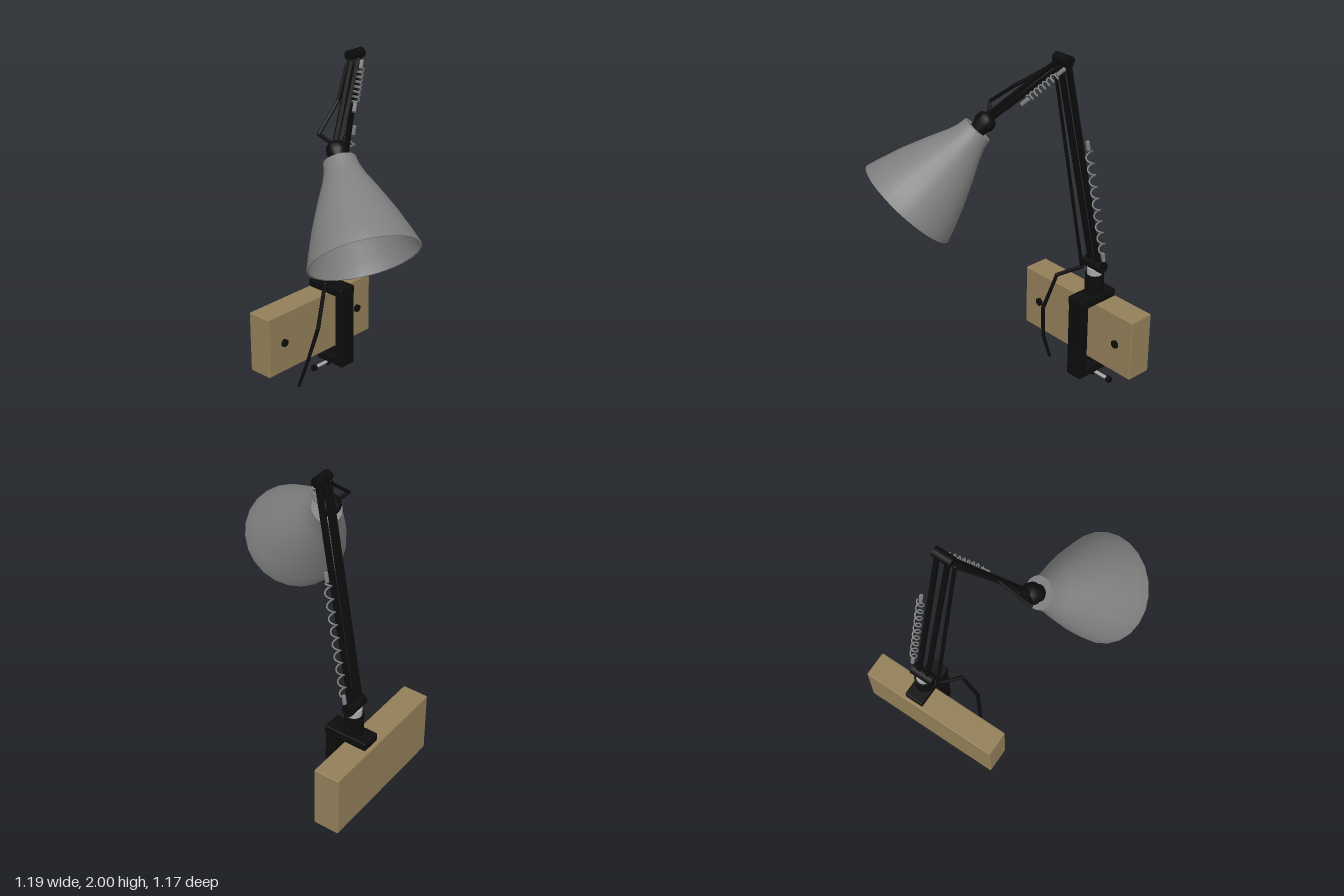
import * as THREE from 'three';
import { RoundedBoxGeometry } from 'three/addons/geometries/RoundedBoxGeometry.js';

const V = (x, y, z) => new THREE.Vector3(x, y, z);
const UP = V(0, 1, 0);

export function createModel() {
  const group = new THREE.Group();
  group.name = 'clampLamp';
  const mat = (name, color, side = THREE.FrontSide) => {
    const m = new THREE.MeshStandardMaterial({ color, side });
    m.name = name;
    return m;
  };
  const black = mat('black', 0x0c0c0c);
  const wood = mat('wood', 0x927e58);
  const grey = mat('shadeGrey', 0x7f7f7f, THREE.DoubleSide);
  const steel = mat('steel', 0xa8a8a8);
  const springGrey = mat('springGrey', 0x808080);
  const bulbGrey = mat('bulbGrey', 0x8c8c8c);

  const add = (name, geo, m, parent = group) => {
    const mesh = new THREE.Mesh(geo, m);
    mesh.name = name;
    parent.add(mesh);
    return mesh;
  };
  // Places a geometry whose axis is y so that it spans from a to b
  const span = (mesh, a, b) => {
    mesh.position.copy(a).add(b).multiplyScalar(0.5);
    mesh.quaternion.setFromUnitVectors(UP, b.clone().sub(a).normalize());
    return mesh;
  };
  const rod = (name, a, b, r0, m, sides = 16, r1 = r0) =>
    span(add(name, new THREE.CylinderGeometry(r1, r0, a.distanceTo(b), sides), m), a, b);
  const bar = (name, a, b, w, d) =>
    span(add(name, new THREE.BoxGeometry(w, a.distanceTo(b), d), black), a, b);
  const block = (name, x0, x1, y0, y1, z0, z1, m, r) => {
    const geo = new RoundedBoxGeometry(x1 - x0, y1 - y0, z1 - z0, 2, r);
    add(name, geo, m).position.set((x0 + x1) / 2, (y0 + y1) / 2, (z0 + z1) / 2);
  };

  // Wooden board with two bolts
  block('board', -0.24, 0.6, 0.14, 0.51, -0.582, -0.43, wood, 0.008);
  for (const x of [-0.12, 0.485]) {
    rod('bolt', V(x, 0.325, -0.45), V(x, 0.325, -0.418), 0.025, black, 6);
  }

  // C-shaped clamp
  const cx = 0.283;
  block('clampBack', 0.231, 0.335, 0.062, 0.562, -0.366, -0.31, black, 0.008);
  block('clampTopJaw', 0.226, 0.341, 0.515, 0.565, -0.567, -0.31, black, 0.008);
  block('clampBottomJaw', 0.231, 0.335, 0.062, 0.115, -0.515, -0.31, black, 0.008);

  // Clamp screw, pad and turning handle
  const sz = -0.475;
  rod('clampScrew', V(cx, 0.01, sz), V(cx, 0.13, sz), 0.016, black);
  rod('clampPad', V(cx, 0.115, sz), V(cx, 0.14, sz), 0.036, black);
  rod('handle', V(0.16, 0.03, sz), V(0.405, 0.03, sz), 0.01, steel);
  for (const x of [0.155, 0.395]) {
    rod('handleCap', V(x, 0.03, sz), V(x + 0.022, 0.03, sz), 0.019, black);
  }

  // Swivel post and lower joint
  const pz = -0.455;
  rod('post', V(cx, 0.56, pz), V(cx, 0.68, pz), 0.053, black, 24);
  rod('postSleeve', V(cx, 0.675, pz), V(cx, 0.72, pz), 0.042, steel, 24);
  rod('lowerJoint', V(0.214, 0.738, pz), V(0.348, 0.738, pz), 0.034, black);

  // Elbow joint
  rod('elbowJoint', V(0.188, 1.972, -0.215), V(0.294, 1.972, -0.215), 0.028, black);

  // Paired arm bars
  for (const s of [-1, 1]) {
    bar('lowerArmBar', V(0.281 + s * 0.028, 0.74, pz), V(0.243 + s * 0.03, 1.97, -0.215), 0.022, 0.026);
    bar('upperArmBar', V(0.241 + s * 0.027, 1.965, -0.215), V(-0.108 + s * 0.02, 1.6, -0.02), 0.02, 0.02);
  }

  // Power cable following the arms, then hanging loose
  const cable = [
    [-0.115, 1.6, -0.03, 0.01], [-0.167, 1.66, -0.09, 0.01], [0, 1.79, -0.113, 0.01],
    [0.178, 1.93, -0.215, 0.01], [0.198, 0.69, -0.44, 0.011], [0.115, 0.645, -0.33, 0.011],
    [0.032, 0.4, -0.308, 0.012], [-0.012, 0.18, -0.355, 0.01], [-0.02, 0.008, -0.418, 0.009],
  ];
  cable.forEach(([x, y, z, r], i) => {
    add('cableBend', new THREE.SphereGeometry(r, 8, 6), black).position.set(x, y, z);
    if (i) {
      const [px, py, pz0, pr] = cable[i - 1];
      rod('cable', V(px, py, pz0), V(x, y, z), pr, black, 6, r);
    }
  });

  // Coil springs with straight end hooks
  const spring = (name, a, b, radius, turns) => {
    const len = a.distanceTo(b);
    const hook = 0.05;
    const points = [];
    for (let i = 0; i <= turns * 10; i++) {
      const t = i / (turns * 10);
      const angle = t * turns * Math.PI * 2;
      points.push(V(Math.cos(angle) * radius, (t - 0.5) * (len - 2 * hook), Math.sin(angle) * radius));
    }
    const coil = new THREE.TubeGeometry(new THREE.CatmullRomCurve3(points), turns * 16, 0.0045, 5);
    span(add(name, coil, springGrey), a, b);
    const dir = b.clone().sub(a).normalize().multiplyScalar(hook);
    rod(name + 'Hook', a, a.clone().add(dir), 0.011, springGrey, 8);
    rod(name + 'Hook', b.clone().sub(dir), b, 0.011, springGrey, 8);
  };
  spring('lowerSpring', V(0.356, 0.79, -0.445), V(0.336, 1.53, -0.308), 0.019, 9);
  spring('upperSpring', V(0.272, 1.935, -0.195), V(0.085, 1.72, -0.08), 0.018, 7);

  // Lamp head, built along +y and tilted down and forwards
  const head = new THREE.Group();
  head.name = 'lampHead';
  head.position.set(-0.136, 1.54, 0.025);
  head.quaternion.setFromUnitVectors(UP, V(-0.179, -0.385, 0.335).normalize());
  group.add(head);
  const lathe = (name, pts, m, sides) =>
    add(name, new THREE.LatheGeometry(pts.map(p => new THREE.Vector2(...p)), sides), m, head);

  lathe('shade', [[0.086, 0], [0.094, 0.05], [0.116, 0.11], [0.16, 0.2], [0.222, 0.34],
    [0.27, 0.47], [0.294, 0.543], [0.284, 0.543]], grey, 24);
  lathe('shadeTop', [[0.03, 0], [0.086, 0]], grey, 24);
  lathe('socket', [[0, -0.1], [0.034, -0.098], [0.054, -0.08], [0.058, -0.045], [0.045, -0.02],
    [0.045, 0.04], [0, 0.04]], black, 16).material = mat('socketBlack', 0x0c0c0c, THREE.DoubleSide);

  // Light bulb
  lathe('bulb', [[0, 0.04], [0.035, 0.04], [0.036, 0.14], [0.055, 0.2], [0.08, 0.255], [0.086, 0.295],
    [0.075, 0.34], [0.045, 0.37], [0, 0.382]].reverse().map(([r, y]) => [r, y]), bulbGrey, 20)
    .material.side = THREE.DoubleSide;

  return group;
}
